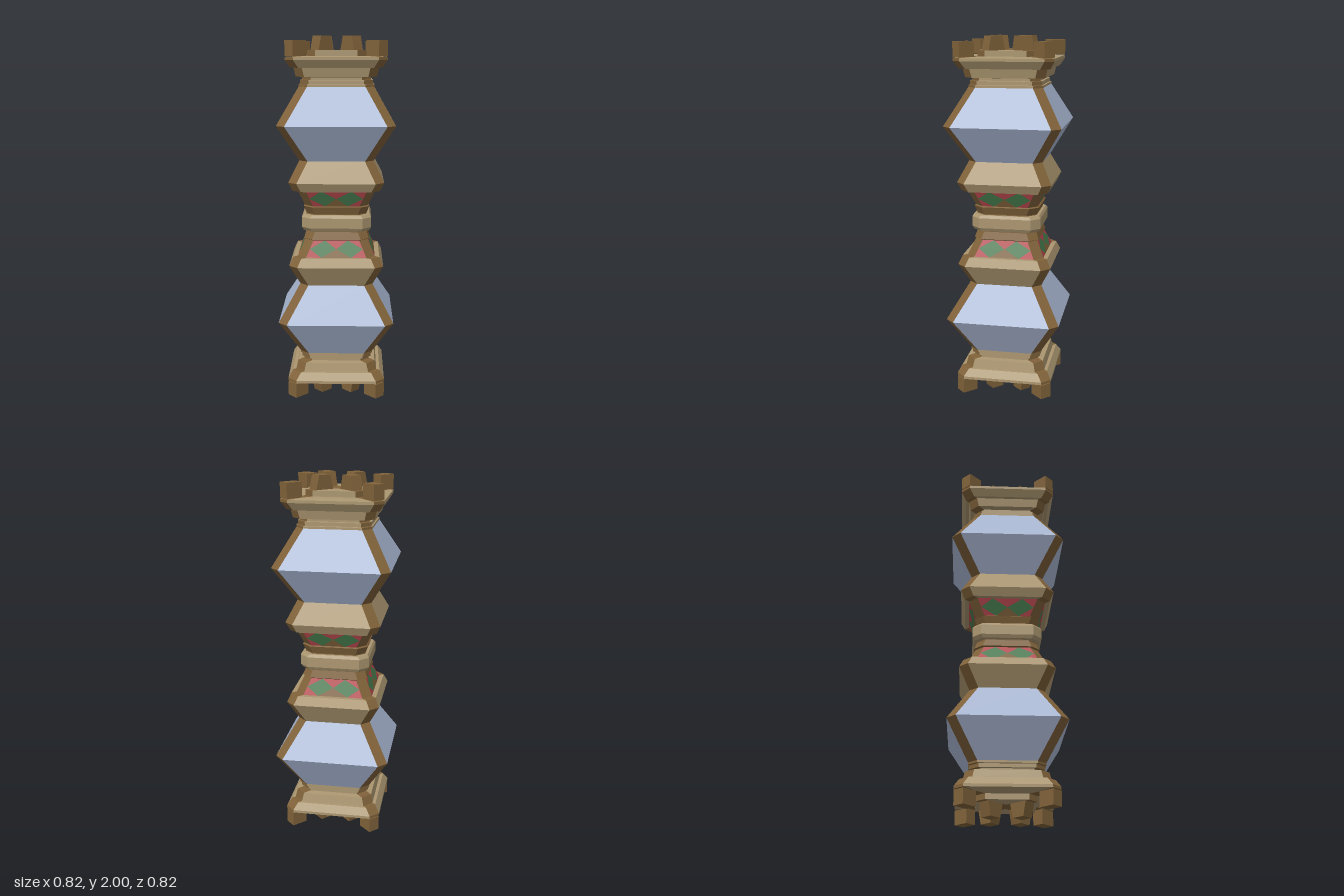
import * as THREE from 'three';

const mat = (name, color) => {
  const m = new THREE.MeshStandardMaterial({ color, flatShading: true, side: THREE.DoubleSide });
  m.name = name;
  return m;
};
const H = 0.033; // half width of the narrow corner faces

// Corner k (0..7) of the chamfered square of reach r at height y
function corner(k, r, y) {
  const a = (k >> 1) * Math.PI / 2, s = k % 2 ? H : -H;
  return new THREE.Vector3(r * Math.cos(a) - s * Math.sin(a), y, r * Math.sin(a) + s * Math.cos(a));
}

function meshFrom(name, tris, materials) {
  // tris: one list of points per material
  const geo = new THREE.BufferGeometry();
  let start = 0;
  tris.forEach((list, i) => { geo.addGroup(start, list.length, i); start += list.length; });
  geo.setFromPoints(tris.flat());
  geo.computeVertexNormals();
  const mesh = new THREE.Mesh(geo, materials);
  mesh.name = name;
  return mesh;
}

// Stacked sides through [reach, height] points, listed bottom to top
function stack(name, profile, wide, trim) {
  const tris = [[], []];
  for (let i = 0; i + 1 < profile.length; i++) {
    const [r0, y0] = profile[i], [r1, y1] = profile[i + 1];
    for (let k = 0; k < 8; k++) {
      const n = (k + 1) % 8;
      const a = corner(n, r0, y0), b = corner(k, r0, y0), c = corner(k, r1, y1), d = corner(n, r1, y1);
      if (k % 2 === 0 || wide) tris[k % 2 ? 0 : 1].push(a, b, c, a, c, d);
    }
  }
  return meshFrom(name, tris, [wide || trim, trim]);
}

// Diamond tiling of the four wide faces of a band
function diamondBand(name, [[r0, y0], [r1, y1]], red, green, brown) {
  const tris = [[], [], []];
  const tiles = [
    [0, [0, 0], [.25, 0], [0, .5]], [0, [0, .5], [.25, 1], [0, 1]],
    [0, [1, 0], [1, .5], [.75, 0]], [0, [1, .5], [1, 1], [.75, 1]],
    [0, [.25, 1], [.5, .5], [.75, 1]], [2, [.25, 0], [.75, 0], [.5, .5]],
    [1, [0, .5], [.25, 0], [.5, .5]], [1, [0, .5], [.5, .5], [.25, 1]],
    [1, [.5, .5], [.75, 0], [1, .5]], [1, [.5, .5], [1, .5], [.75, 1]],
  ];
  for (let k = 1; k < 8; k += 2) {
    const n = (k + 1) % 8;
    const at = ([u, v]) => corner(n, r0, y0).lerp(corner(k, r0, y0), u)
      .lerp(corner(n, r1, y1).lerp(corner(k, r1, y1), u), v);
    for (const [m, ...pts] of tiles) tris[m].push(...pts.map(at));
  }
  return meshFrom(name, tris, [red, green, brown]);
}

export function createModel() {
  const tan = mat('tan', 0xab9670), brown = mat('brown', 0x80623a), blue = mat('pale blue', 0xaab8d4);
  const red = mat('red', 0xb5464c), green = mat('green', 0x457a4c);
  const model = new THREE.Group();
  model.name = 'totemColumn';

  // Lower half, bottom to top; the upper half is its reflection
  const parts = [
    ['crown', tan, [[H, .075], [.19, .075], [.19, .105], [.26, .105], [.345, .11], [.345, .125], [.31, .165],
      [.285, .165], [.27, .212], [.225, .215], [.225, .228]]],
    ['collar', tan, [[.225, .228], [.24, .23], [.24, .25], [.25, .252], [.25, .264]]],
    ['panelBulge', blue, [[.25, .264], [.41, .463], [.25, .657]]],
    ['shoulder', tan, [[.25, .657], [.33, .77], [.30, .817], [.265, .817]]],
    ['diamondBand', null, [[.265, .817], [.21, .905]]],
    ['neckBand', brown, [[.21, .905], [.22, .91], [.2, .95], [.2, .957]]],
  ];
  for (const upper of [false, true]) {
    const half = new THREE.Group();
    half.name = upper ? 'upperHalf' : 'lowerHalf';
    for (const [name, wide, points] of parts) {
      const profile = upper ? points.map(([r, y]) => [r, 2 - y]).reverse() : points;
      half.add(stack(name, profile, wide, brown));
      if (!wide) half.add(diamondBand('diamondTiles', profile, red, green, brown));
    }

    // Prongs and corner blocks on the outer face
    const s = new THREE.Shape([[.06, 0], [.165, 0], [.148, .075], [.078, .075]].map(p => new THREE.Vector2(...p)));
    const prongGeo = new THREE.ExtrudeGeometry(s, { depth: 2 * H, bevelEnabled: false }).translate(0, 0, -H);
    const blockGeo = new THREE.BoxGeometry(.09, .08, 2 * H).translate(.3, .01, 0);
    const teeth = new THREE.Group();
    teeth.name = 'teeth';
    for (let i = 0; i < 4; i++) {
      const prong = new THREE.Mesh(prongGeo, brown);
      prong.name = 'prong';
      const block = new THREE.Mesh(blockGeo, brown);
      block.name = 'cornerBlock';
      prong.rotation.y = block.rotation.y = i * Math.PI / 2;
      teeth.add(prong, block);
    }
    teeth.position.y = upper ? 1.925 : .075;
    if (!upper) teeth.rotation.x = Math.PI;
    half.add(teeth);
    model.add(half);
  }

  // Waist ring between the halves
  model.add(stack('waist', [[.2, .955], [.222, .957], [.235, .975], [.235, 1.03], [.222, 1.045], [.2, 1.045]], tan, tan));

  // Core closing both ends
  const core = new THREE.Mesh(new THREE.BoxGeometry(2 * H, 1.85, 2 * H), brown);
  core.name = 'core';
  core.position.y = 1;
  model.add(core);
  return model;
}
